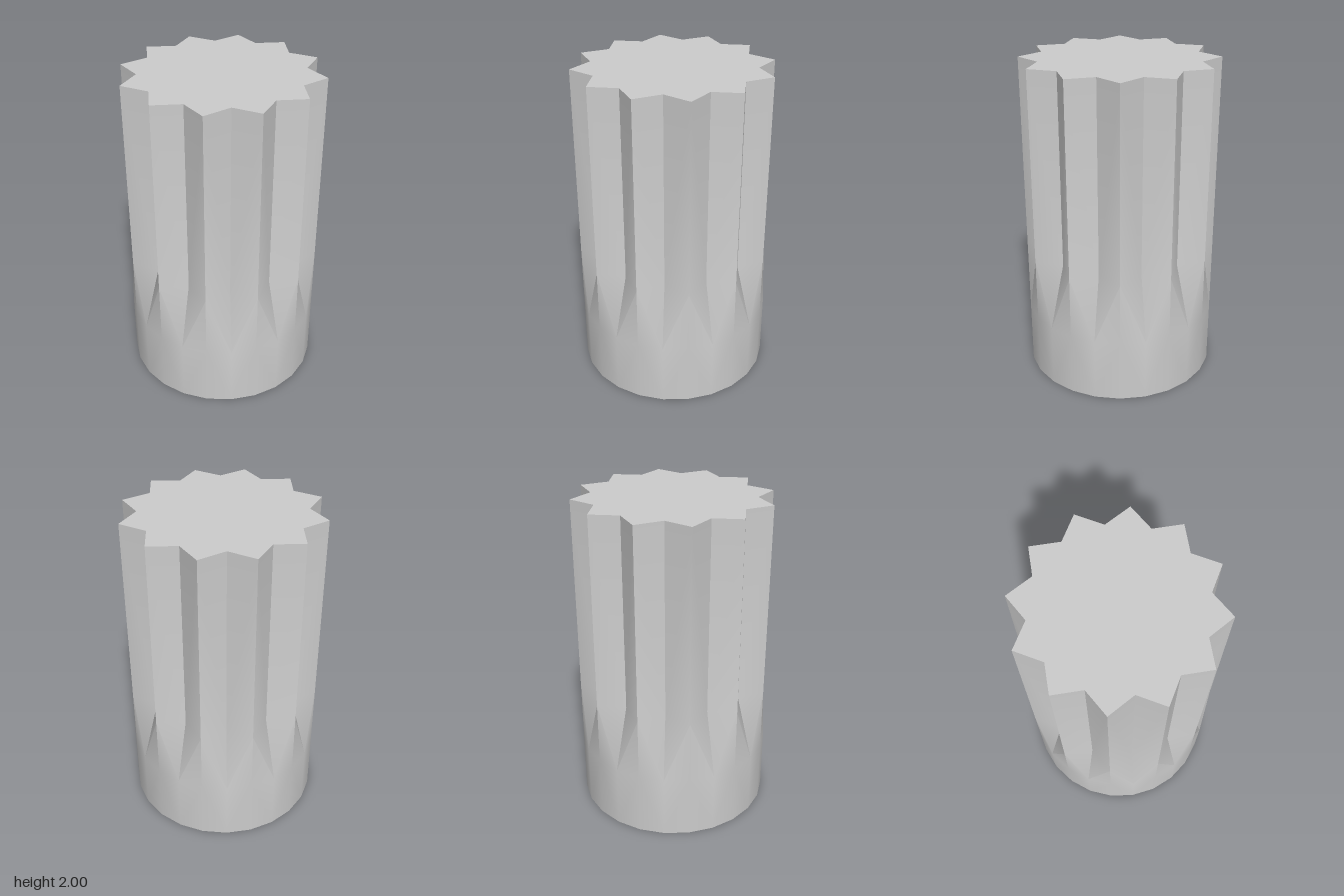
import * as THREE from 'three';
import { toCreasedNormals } from 'three/addons/utils/BufferGeometryUtils.js';

const SIDES = 24; // twelve ridges alternating with twelve grooves
const RIDGE = 0.6;
const GROOVE = 0.49;

// One ring point; even points lie in the grooves
function ringPoint(k, y, grooveRadius) {
  const a = (k / SIDES) * Math.PI * 2;
  const r = k % 2 === 0 ? grooveRadius : RIDGE;
  return [Math.sin(a) * r, y, Math.cos(a) * r];
}

function toGeometry(corners) {
  const geometry = new THREE.BufferGeometry();
  geometry.setAttribute('position', new THREE.Float32BufferAttribute(corners.flat(), 3));
  return geometry;
}

export function createModel() {
  const group = new THREE.Group();
  group.name = 'flutedKnob';
  const material = new THREE.MeshStandardMaterial({ color: 0xcccccc, side: THREE.DoubleSide });

  // Round collar, groove run-out, straight fluted shaft: [height, groove radius]
  const rings = [[0, RIDGE], [0.4, RIDGE], [0.8, GROOVE], [2, GROOVE]];
  const wall = [];
  for (let i = 0; i < rings.length - 1; i++) {
    for (let k = 0; k < SIDES; k++) {
      const a = ringPoint(k, ...rings[i]);
      const b = ringPoint(k + 1, ...rings[i]);
      const c = ringPoint(k + 1, ...rings[i + 1]);
      const d = ringPoint(k, ...rings[i + 1]);
      // Each diagonal runs from the upper ridge down to the lower groove
      if (k % 2 === 0) wall.push(a, b, c, a, c, d);
      else wall.push(a, b, d, b, c, d);
    }
  }
  const body = new THREE.Mesh(toCreasedNormals(toGeometry(wall), 0.8), material);
  body.name = 'flutedBody';

  // Flat star-shaped top; the bottom stays open
  const top = [];
  for (let k = 0; k < SIDES; k++) {
    top.push([0, 2, 0], ringPoint(k, 2, GROOVE), ringPoint(k + 1, 2, GROOVE));
  }
  const capGeometry = toGeometry(top);
  capGeometry.computeVertexNormals();
  const cap = new THREE.Mesh(capGeometry, material);
  cap.name = 'topCap';

  group.add(body, cap);
  return group;
}
